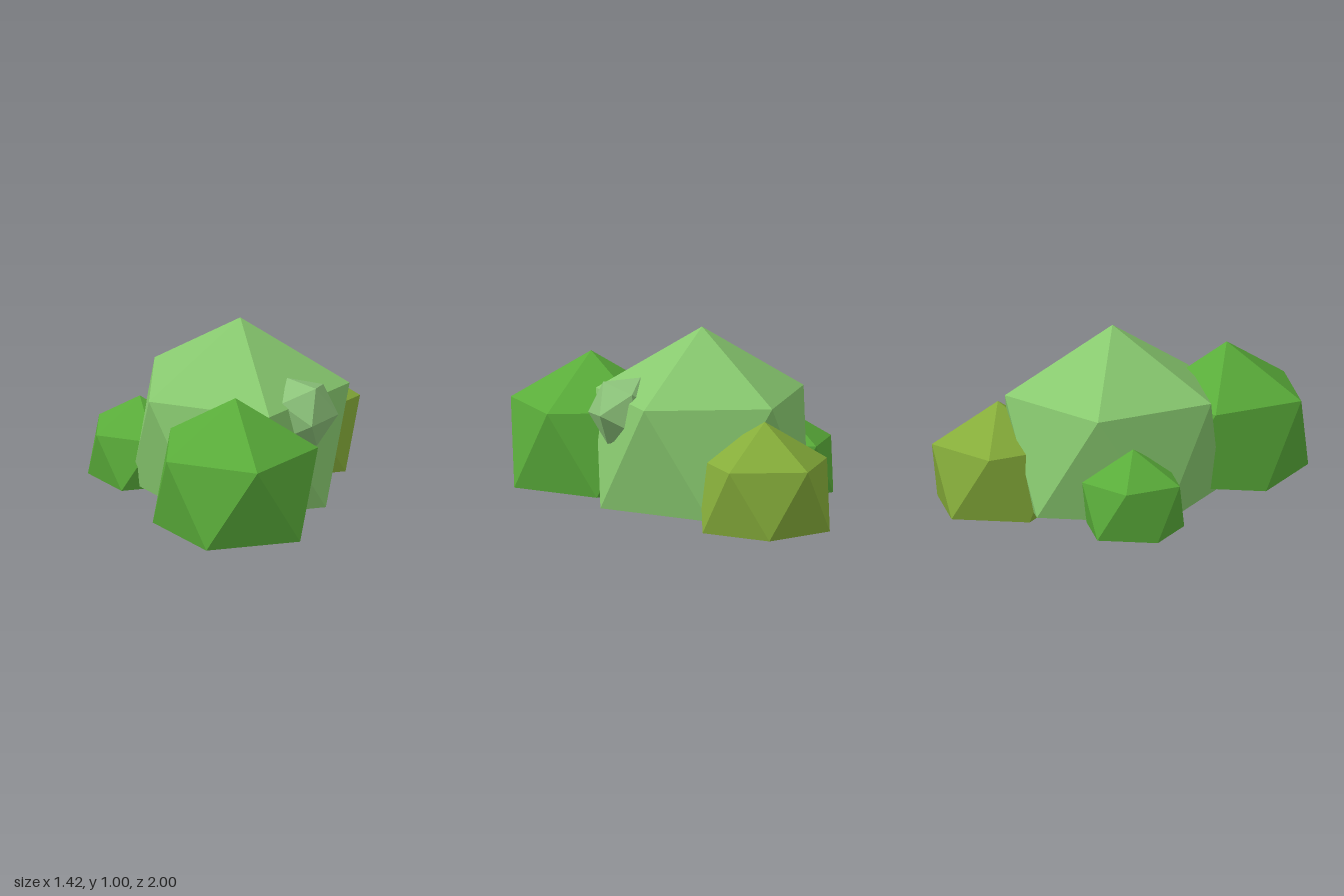
import * as THREE from 'three';

const flat = (name, color) => {
  const m = new THREE.MeshStandardMaterial({ color, flatShading: true });
  m.name = name;
  return m;
};

// Icosahedron standing on one corner, with a corner of its upper ring towards +x
function leafGeometry(r) {
  const g = new THREE.IcosahedronGeometry(r, 0);
  g.rotateX(-Math.atan((1 + Math.sqrt(5)) / 2));
  g.rotateY(Math.PI / 2);
  return g;
}

// Push the lowest corner up so the clump sits almost flat on the ground
function flattenBase(g, r) {
  const p = g.attributes.position;
  for (let i = 0; i < p.count; i++) p.setY(i, Math.max(p.getY(i), -0.483 * r));
  g.computeVertexNormals();
  return g;
}

export function createModel() {
  const group = new THREE.Group();
  group.name = 'bush';
  const light = flat('light green', 0x88c96f);
  const mid = flat('leaf green', 0x5aad3a);
  const olive = flat('olive green', 0x86ad3a);
  const pale = flat('pale green', 0x8cc37a);

  // Large clumps: name, radius, centre, material
  const clumps = [
    ['mainClump', 0.648, [0.10, 0.353, -0.11], light],
    ['frontClump', 0.49, [0.105, 0.31, 0.58], mid],
    ['rightClump', 0.307, [-0.44, 0.183, -0.277], mid],
    ['backClump', 0.397, [0.355, 0.192, -0.662], olive],
  ];
  for (const [name, r, centre, material] of clumps) {
    const mesh = new THREE.Mesh(flattenBase(leafGeometry(r), r), material);
    mesh.name = name;
    mesh.position.set(...centre);
    group.add(mesh);
  }

  // Small tilted sprig on the left shoulder
  const sprig = new THREE.Mesh(leafGeometry(0.196), pale);
  sprig.name = 'sprig';
  const y = new THREE.Vector3(0.988, 0, 0.15).normalize();
  const z = new THREE.Vector3(-0.06, 0.92, 0.387).cross(y).normalize();
  const x = new THREE.Vector3().crossVectors(y, z);
  sprig.quaternion.setFromRotationMatrix(new THREE.Matrix4().makeBasis(x, y, z));
  sprig.position.set(0.44, 0.575, 0.165);
  group.add(sprig);

  return group;
}
